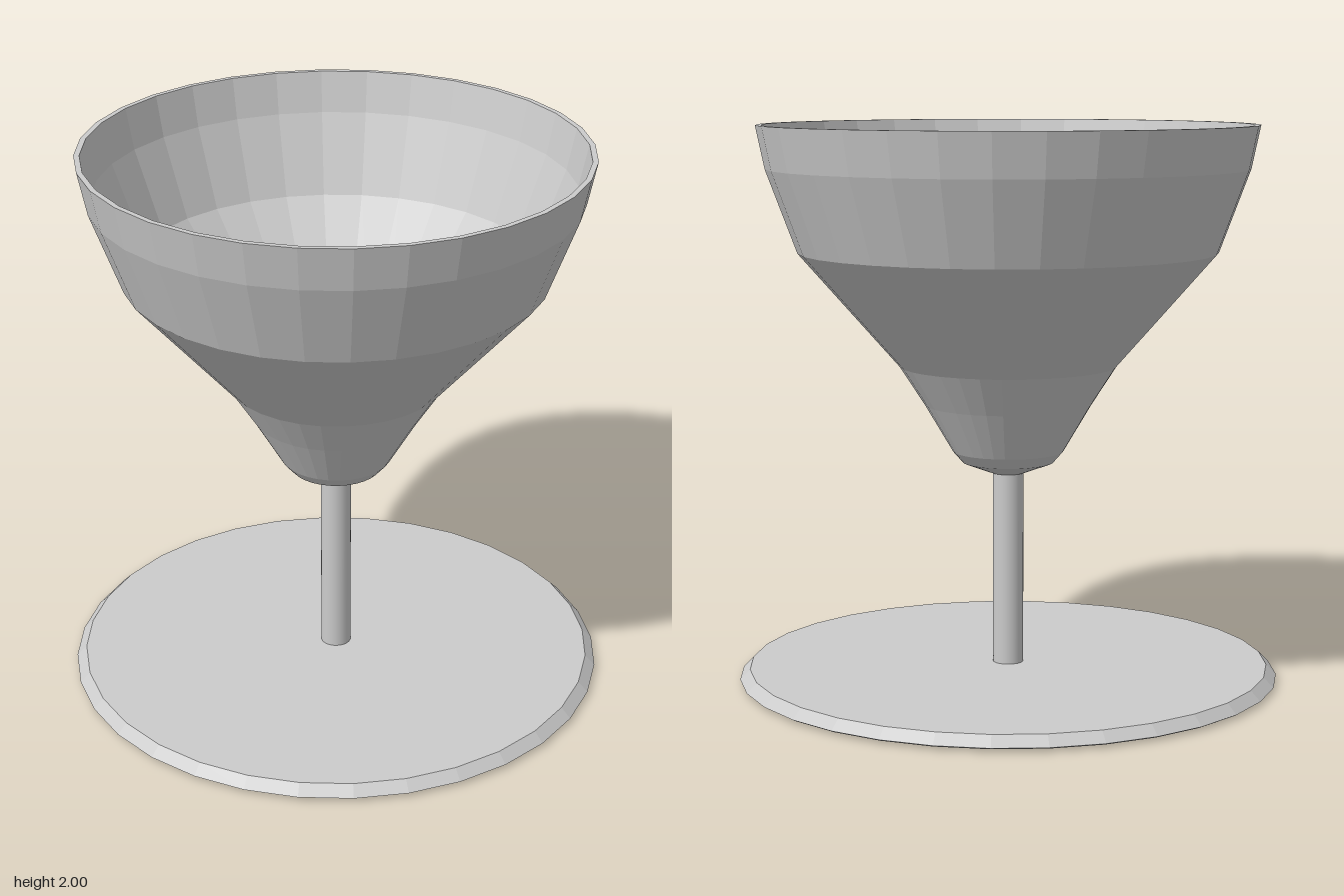
import * as THREE from 'three';

const SEGMENTS = 32;

// Faceted solid of revolution from [radius, height] pairs, listed bottom-outside first
function turned(name, profile) {
  const points = profile.map(([r, y]) => new THREE.Vector2(r, y));
  const material = new THREE.MeshStandardMaterial({ color: 0xcccccc, flatShading: true });
  const mesh = new THREE.Mesh(new THREE.LatheGeometry(points, SEGMENTS), material);
  mesh.name = name;
  return mesh;
}

export function createModel() {
  const group = new THREE.Group();
  group.name = 'stemmedGlass';

  // Flat foot with a bevelled edge
  group.add(turned('foot', [[0, 0], [0.965, 0.008], [0.976, 0.014], [0.94, 0.05], [0, 0.05]]));

  // Slim smooth stem
  const stem = new THREE.Mesh(
    new THREE.CylinderGeometry(0.055, 0.055, 0.72, SEGMENTS),
    new THREE.MeshStandardMaterial({ color: 0xcccccc })
  );
  stem.name = 'stem';
  stem.position.y = 0.40;
  group.add(stem);

  // Thin-walled bowl: outer wall up to the rim, then the inner wall back down
  const outer = [[0, 0.75], [0.06, 0.75], [0.165, 0.79], [0.2, 0.83], [0.3, 1.0],
    [0.39, 1.14], [0.75, 1.55], [0.86, 1.846], [0.892, 2]];
  const inner = [[0.872, 2], [0.84, 1.85], [0.73, 1.56], [0.37, 1.15], [0.28, 1.01],
    [0.18, 0.84], [0.148, 0.805], [0.04, 0.77], [0, 0.77]];
  group.add(turned('bowl', [...outer, ...inner]));

  return group;
}
